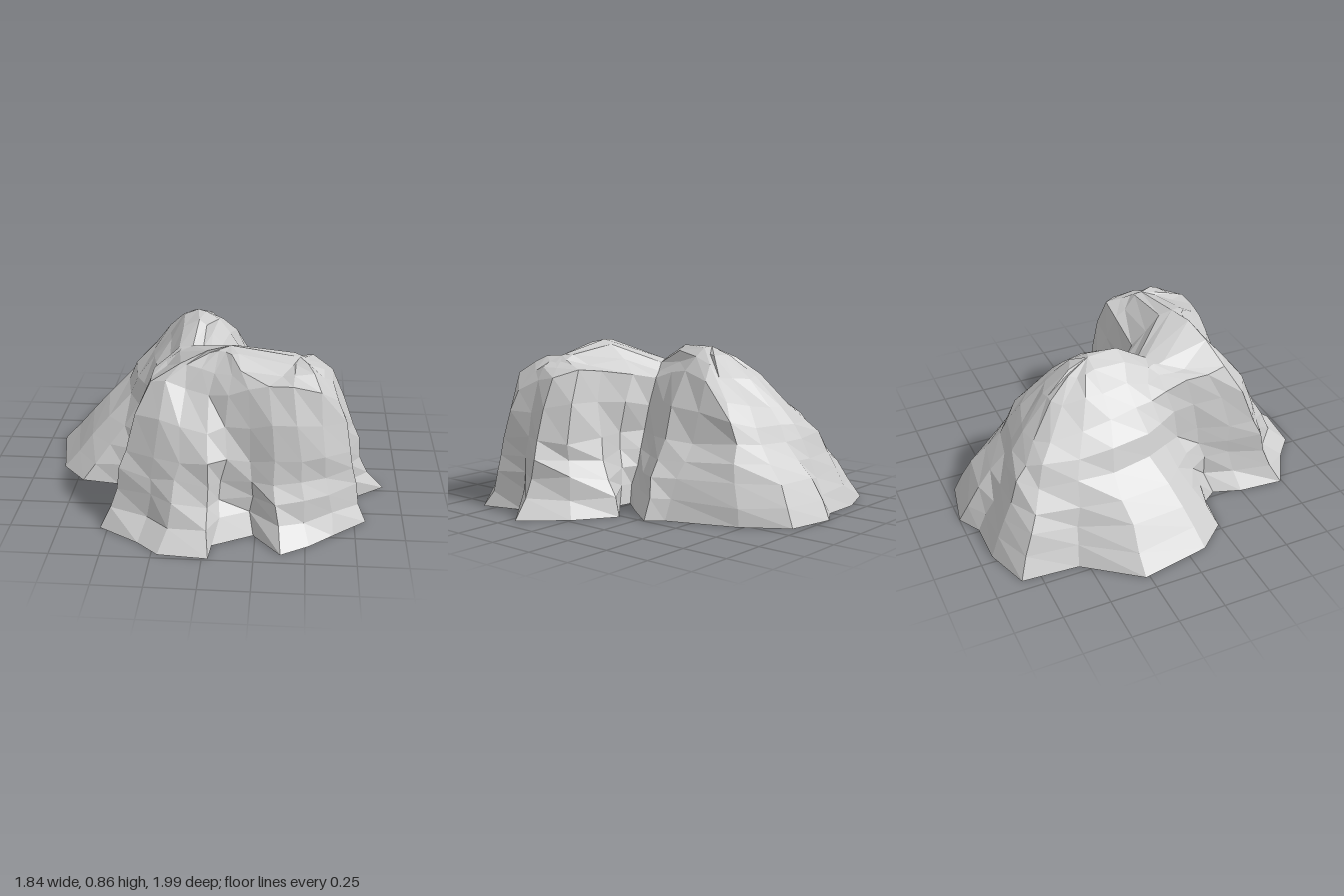
import * as THREE from 'three';

// Ground outline (x, z), running clockwise as seen from above
const BASE = [
  -.12, -1, .14, -.95, .29, -.73, .43, -.37, .5, -.29, .36, -.1, .27, .01, .34, .02,
  .52, -.14, .73, 0, .92, .21, .74, .35, .81, .58, .64, .73, .52, .84, .38, .93,
  .24, .76, .04, .87, .03, .99, -.22, .97, -.33, .87, -.54, .74, -.52, .5, -.47, .35,
  -.52, .28, -.72, .25, -.85, .1, -.92, -.27, -.71, -.55, -.69, -.85, -.46, -.93, -.24, -.93];
// Outline at waist height (x, z)
const WAIST_Y = 0.38;
const WAIST = [
  -.12, -.73, .06, -.7, .16, -.6, .22, -.38, .25, -.22, .18, -.1, .12, .04, .22, .12,
  .45, .06, .64, .1, .75, .22, .7, .34, .73, .5, .6, .63, .46, .68, .34, .7,
  .22, .67, .09, .68, 0, .74, -.13, .74, -.26, .68, -.42, .62, -.38, .46, -.35, .3,
  -.37, .18, -.43, .06, -.5, -.04, -.53, -.27, -.52, -.48, -.48, -.66, -.4, -.74, -.24, -.74];
// Shoulder where the walls turn into the crown (x, z, y)
const SHOULDER = [
  -.13, -.62, .54, 0, -.58, .56, .09, -.5, .58, .09, -.36, .68, .06, -.2, .72, .03, -.08, .7,
  .03, .03, .66, .12, .12, .68, .36, .13, .72, .52, .14, .74, .62, .23, .7, .62, .34, .68,
  .65, .46, .62, .56, .55, .7, .42, .58, .74, .3, .58, .74, .2, .58, .72, .1, .57, .68,
  0, .53, .66, -.12, .5, .68, -.22, .5, .72, -.3, .47, .7, -.31, .37, .68, -.31, .24, .68,
  -.31, .12, .64, -.33, .03, .62, -.35, -.07, .62, -.37, -.22, .6, -.38, -.38, .58,
  -.36, -.55, .55, -.3, -.62, .54, -.2, -.64, .54];
// Crest line from the back summit over the saddle to the front summit
const CREST = [[-.12, .84, -.24], [-.1, .84, -.07], [-.12, .75, .09], [.1, .86, .35], [.45, .8, .33]]
  .map(p => new THREE.Vector3(...p));

const COLUMNS = BASE.length / 2;

// Seeded roughness
let seed = 11;
const rough = size => {
  seed = (seed * 16807) % 2147483647;
  return (seed / 2147483647 - 0.5) * 2 * size;
};
const shake = v => v.add(new THREE.Vector3(rough(.014), rough(.016), rough(.014)));

// One vertical strip of points, from the ground up to the crest
function column(i) {
  const base = new THREE.Vector3(BASE[2 * i], 0, BASE[2 * i + 1]);
  const waist = new THREE.Vector3(WAIST[2 * i], WAIST_Y, WAIST[2 * i + 1]);
  const shoulder = new THREE.Vector3(SHOULDER[3 * i], SHOULDER[3 * i + 2], SHOULDER[3 * i + 1]);
  const flat = p => Math.hypot(p.x - shoulder.x, p.z - shoulder.z);
  const crest = CREST.reduce((a, b) => (flat(b) < flat(a) ? b : a));
  const points = [base];

  // Foot: flares quickly at the front, slopes evenly at the back
  const power = base.z > 0.3 || base.x > 0.6 ? 0.5 : 1.15;
  for (const t of [.25, .5, .75, 1]) {
    const p = base.clone().lerp(waist, Math.pow(t, power));
    p.y = WAIST_Y * t;
    points.push(shake(p));
  }
  // Wall: bulges slightly outward
  const middle = waist.clone().lerp(shoulder, .4);
  middle.y = (waist.y + shoulder.y) / 2;
  points.push(shake(middle), shoulder);
  // Crown: rounds over towards the crest
  for (const t of [.36, .7]) {
    const p = shoulder.clone().lerp(crest, t);
    p.y = shoulder.y + (crest.y - shoulder.y) * (1 - Math.pow(1 - t, 1.5));
    points.push(shake(p));
  }
  points.push(crest);
  return points;
}

function rockGeometry() {
  const columns = Array.from({ length: COLUMNS }, (_, i) => column(i));
  const rows = columns[0].length;
  const index = [];
  for (let i = 0; i < COLUMNS; i++) {
    for (let r = 0; r < rows - 1; r++) {
      const a = i * rows + r, b = ((i + 1) % COLUMNS) * rows + r;
      index.push(a, a + 1, b + 1, a, b + 1, b);
    }
  }
  const geometry = new THREE.BufferGeometry().setFromPoints(columns.flat());
  geometry.setIndex(index);
  geometry.computeVertexNormals();
  return geometry;
}

export function createModel() {
  const material = new THREE.MeshStandardMaterial({ color: 0xcccccc, flatShading: true });
  const group = new THREE.Group();
  group.name = 'rock';

  // Faceted rock surface
  const surface = new THREE.Mesh(rockGeometry(), material);
  surface.name = 'rockSurface';

  // Flat underside
  const outline = Array.from({ length: COLUMNS }, (_, i) => new THREE.Vector2(BASE[2 * i], BASE[2 * i + 1]));
  const underside = new THREE.Mesh(new THREE.ShapeGeometry(new THREE.Shape(outline)).rotateX(Math.PI / 2), material);
  underside.name = 'underside';

  group.add(surface, underside);
  return group;
}
